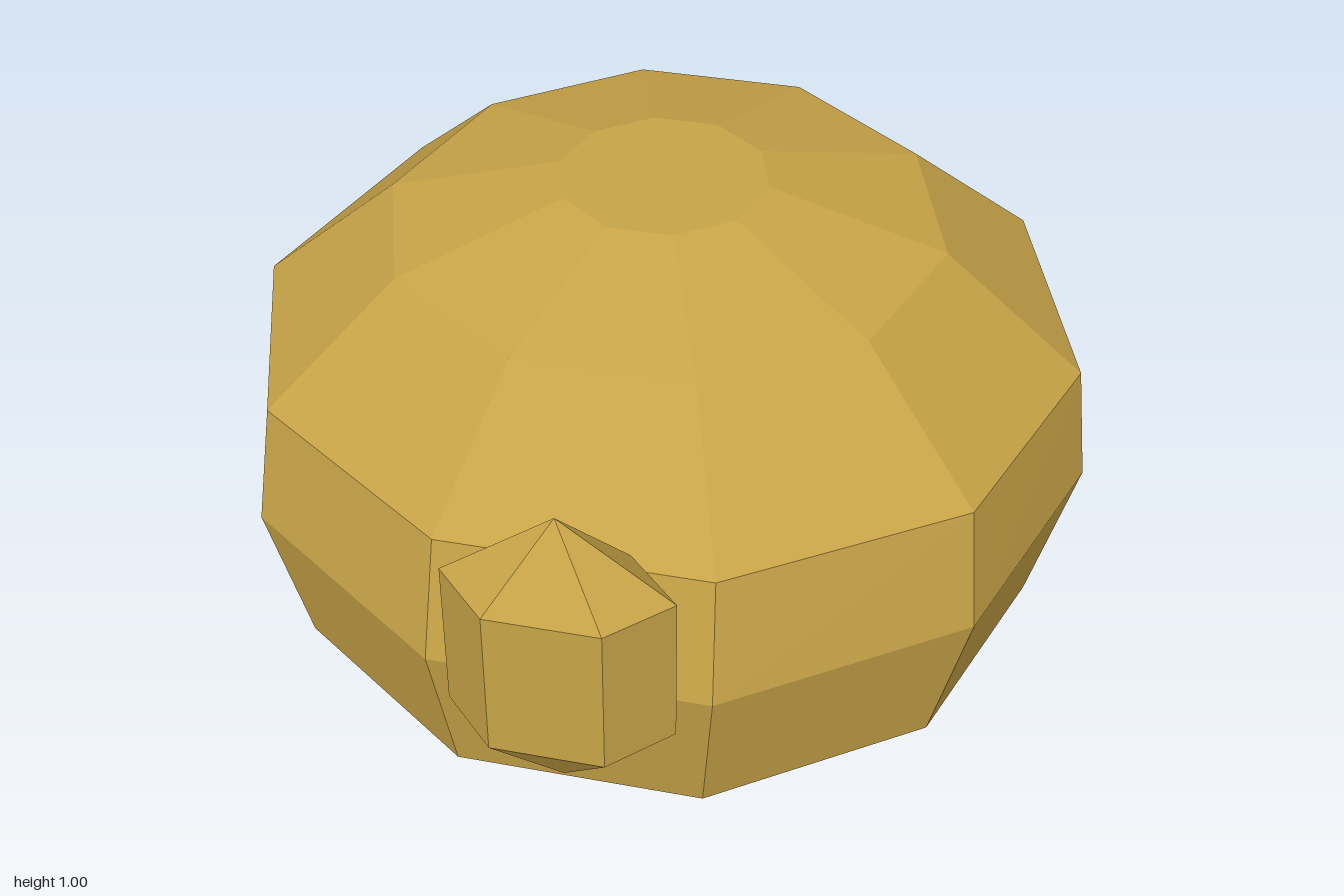
import * as THREE from 'three';

// Skin a stack of rings; each ring is [y, radiusX, centreZ, radiusFront, radiusBack].
// A ring of zero radius closes the end to a cap or a point.
function skinRings(rings, sides) {
  const point = ([y, rx, cz, rf, rb], i) => {
    const a = ((i % sides) / sides) * Math.PI * 2;
    const s = Math.sin(a);
    return [rx * Math.cos(a), y, cz + s * (s > 0 ? rf : rb)];
  };
  const positions = [];
  for (let r = 0; r < rings.length - 1; r++) {
    const low = rings[r], high = rings[r + 1];
    for (let i = 0; i < sides; i++) {
      const a = point(low, i), b = point(low, i + 1);
      const c = point(high, i), d = point(high, i + 1);
      if (low[1] > 0) positions.push(...a, ...c, ...b);
      if (high[1] > 0) positions.push(...b, ...c, ...d);
    }
  }
  const geometry = new THREE.BufferGeometry();
  geometry.setAttribute('position', new THREE.Float32BufferAttribute(positions, 3));
  geometry.computeVertexNormals();
  return geometry;
}

export function createModel() {
  const group = new THREE.Group();
  const gold = new THREE.MeshStandardMaterial({ color: 0xc8a448 });
  gold.name = 'gold';
  gold.flatShading = true;

  // Ten-sided dome, a little deeper towards the back
  const dome = new THREE.Mesh(skinRings([
    [0, 0, -0.03, 0, 0],
    [0, 0.865, -0.03, 0.84, 0.925],
    [0.35, 0.96, -0.05, 0.93, 1.0],
    [0.62, 0.925, -0.055, 0.867, 0.975],
    [0.89, 0.615, -0.05, 0.589, 0.65],
    [1.005, 0.23, -0.045, 0.235, 0.235],
    [1.005, 0, -0.045, 0, 0],
  ], 10), gold);
  dome.name = 'dome';
  group.add(dome);

  // Six-sided pointed stud on the front
  const stud = new THREE.Mesh(skinRings([
    [0.137, 0, 0.883, 0, 0],
    [0.307, 0.234, 0.883, 0.135, 0.135],
    [0.655, 0.234, 0.883, 0.135, 0.135],
    [0.828, 0, 0.883, 0, 0],
  ], 6), gold);
  stud.name = 'stud';
  group.add(stud);

  return group;
}
